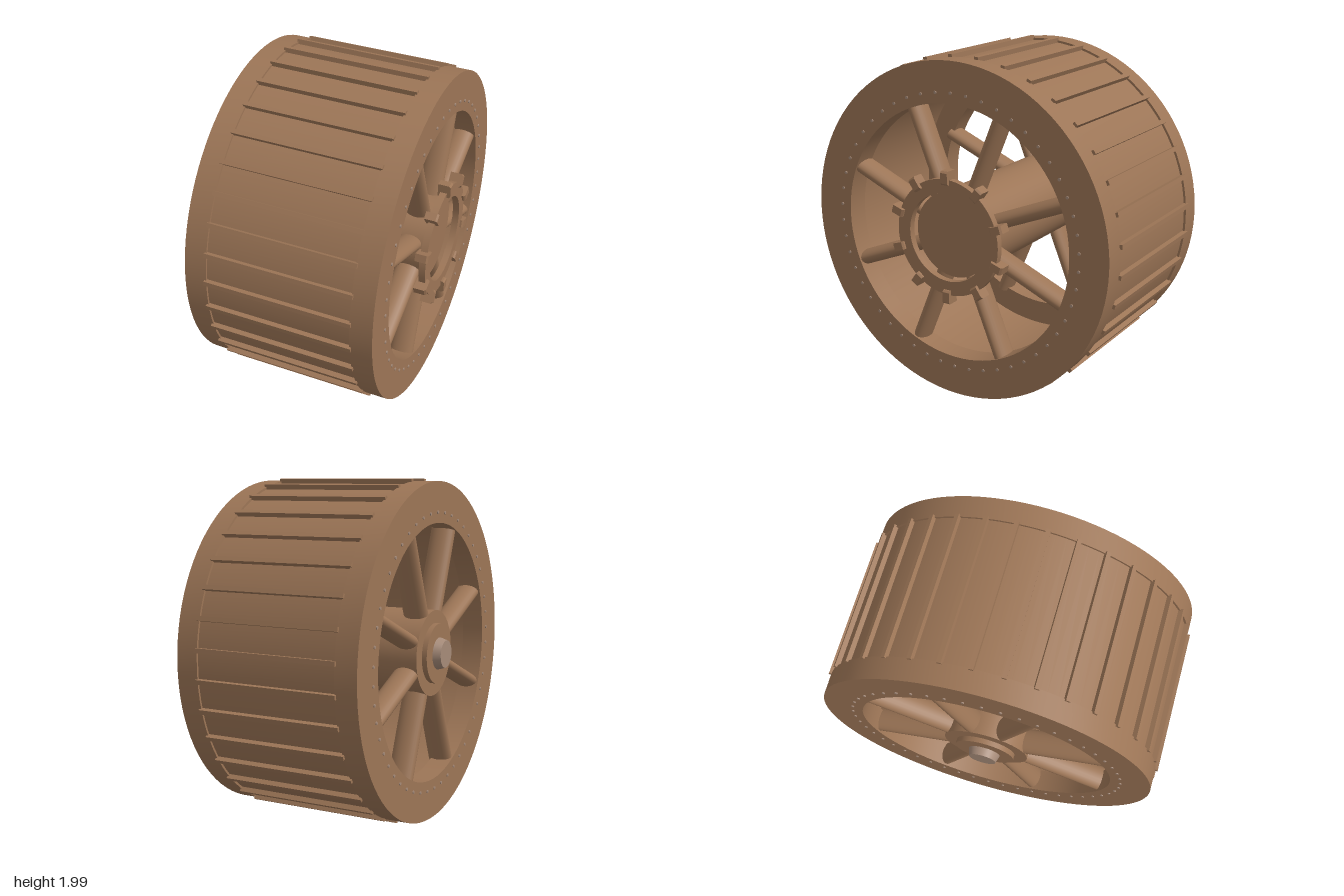
import * as THREE from 'three';
import { mergeGeometries, toCreasedNormals } from 'three/addons/utils/BufferGeometryUtils.js';

// The wheel is built with its axle along local y, then laid over so the axle runs along x.
export function createModel() {
  const wood = new THREE.MeshStandardMaterial({ color: 0x9c7556 });
  wood.name = 'brown wood';
  const metal = new THREE.MeshStandardMaterial({ color: 0xa58a78 });
  metal.name = 'dull metal';

  const model = new THREE.Group();
  model.name = 'spokedWheel';
  const wheel = new THREE.Group();
  wheel.name = 'wheel';
  wheel.rotation.z = -Math.PI / 2;
  wheel.position.y = 1;
  model.add(wheel);

  const add = (name, geometry, material = wood) => {
    const mesh = new THREE.Mesh(geometry, material);
    mesh.name = name;
    wheel.add(mesh);
  };

  // Solid ring with a rectangular section
  const ring = (inner, outer, y0, y1) => {
    const points = [[inner, y0], [outer, y0], [outer, y1], [inner, y1], [inner, y0]];
    const lathe = new THREE.LatheGeometry(points.map(([r, y]) => new THREE.Vector2(r, y)), 96);
    return toCreasedNormals(lathe, 0.6);
  };

  const disc = (rTop, rBottom, y0, y1) =>
    new THREE.CylinderGeometry(rTop, rBottom, y1 - y0, 64).translate(0, (y0 + y1) / 2, 0);

  // Copies of a geometry around the axle; its x axis points outward
  const around = (geometry, count, radius, y, startDegrees = 0) => {
    const copies = [];
    for (let i = 0; i < count; i++) {
      const angle = THREE.MathUtils.degToRad(startDegrees) + (i / count) * Math.PI * 2;
      copies.push(geometry.clone().translate(radius, y, 0).rotateY(-angle));
    }
    return mergeGeometries(copies);
  };

  // Drum and the two side rims
  add('drum', ring(0.9, 0.972, -0.45, 0.435));
  add('rightRim', ring(0.75, 0.985, -0.56, -0.43));
  add('leftRim', ring(0.75, 0.985, 0.415, 0.545));

  // Tread bars across the drum
  add('treadBars', around(new THREE.BoxGeometry(0.04, 0.865, 0.026), 36, 0.98, -0.0075, 5));

  // A row of oval spokes on each side
  const spoke = new THREE.CylinderGeometry(0.5, 0.5, 0.6, 24).rotateZ(Math.PI / 2).scale(1, 0.15, 0.09);
  add('rightSpokes', around(spoke, 8, 0.475, -0.475, 22.5));
  add('leftSpokes', around(spoke, 8, 0.475, 0.46, 22.5));

  // Rivets on both rim faces
  const rivet = new THREE.CylinderGeometry(0.009, 0.009, 0.012, 8);
  add('rightRivets', around(rivet, 50, 0.81, -0.56), metal);
  add('leftRivets', around(rivet, 50, 0.81, 0.545), metal);

  // Hub with a flange and tapered axle cap on the right
  add('hub', disc(0.25, 0.25, -0.55, 0.54));
  add('hubFlange', disc(0.175, 0.175, -0.58, -0.545));
  add('axleCap', disc(0.095, 0.08, -0.625, -0.575), metal);

  // Clamped ring on the left
  add('clampRing', ring(0.257, 0.34, 0.563, 0.602));
  const clampShape = new THREE.Shape();
  [[-0.04, -0.0375], [0.04, -0.0375], [0.04, 0.0275], [0.03, 0.0375], [-0.03, 0.0375], [-0.04, 0.0275]]
    .forEach(([x, y], i) => (i ? clampShape.lineTo(x, y) : clampShape.moveTo(x, y)));
  const clamp = new THREE.ExtrudeGeometry(clampShape, { depth: 0.046, bevelEnabled: false }).translate(0, 0, -0.023);
  add('ringClamps', around(clamp, 10, 0.35, 0.5855));

  return model;
}
